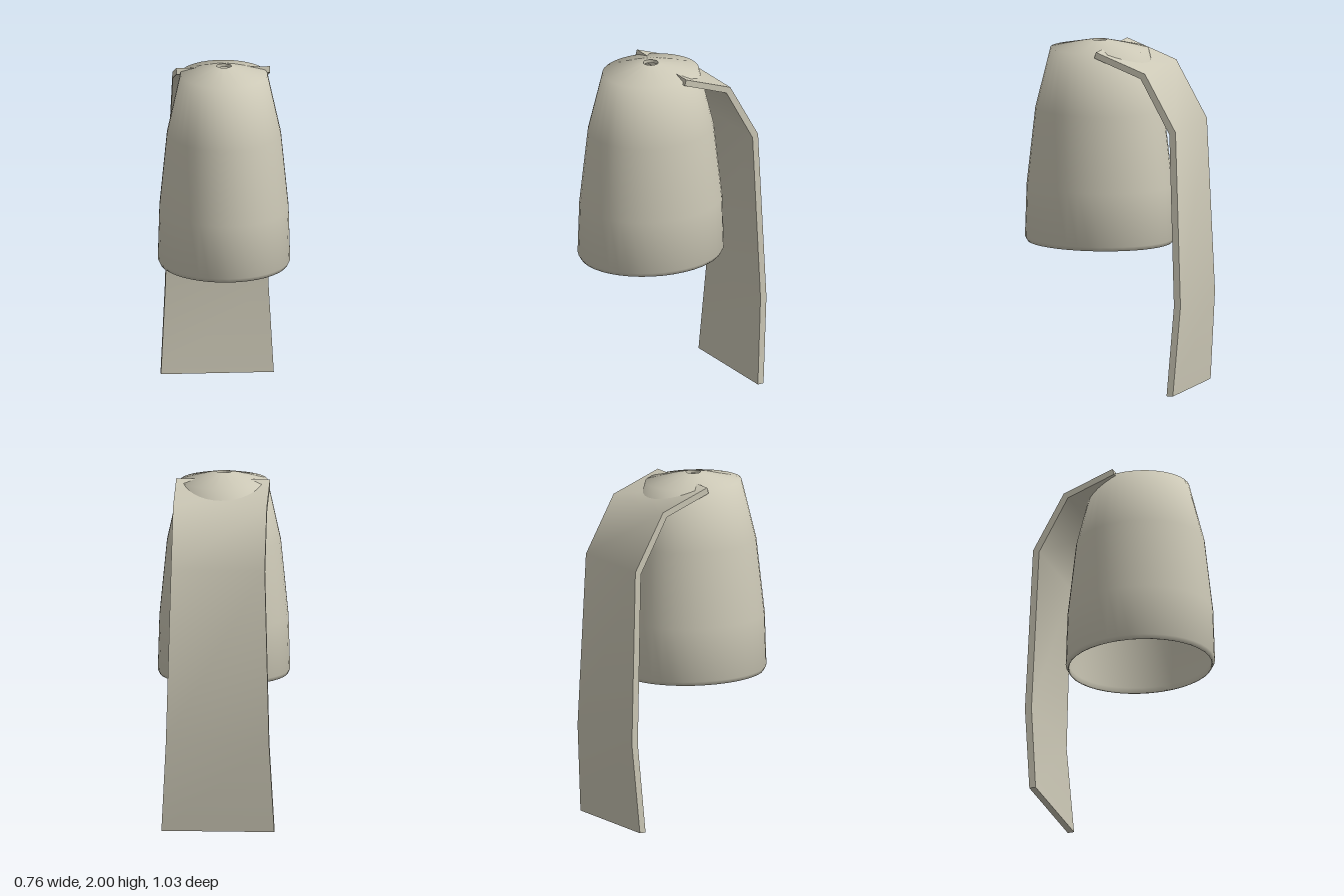
import * as THREE from 'three';
import { toCreasedNormals } from 'three/addons/utils/BufferGeometryUtils.js';

const points = (list) => list.map(([x, y]) => new THREE.Vector2(x, y));

// Half width of the strap at a given height: flared towards the foot
function strapHalfWidth(y) {
  if (y < 0.52) return THREE.MathUtils.mapLinear(y, 0, 0.52, 0.325, 0.297);
  if (y < 1.53) return THREE.MathUtils.mapLinear(y, 0.52, 1.53, 0.297, 0.27);
  return 0.27;
}

// Thin-walled oval bell, open below, with a round hole on top
function createBell(material) {
  const profile = points([
    [0.043, 2.0], [0.043, 1.98], [0.272, 1.93], [0.357, 1.59], [0.407, 1.15],
    [0.416, 0.86], [0.416, 0.83], [0.418, 0.826],
    [0.422, 0.826], [0.435, 0.85], [0.425, 1.16], [0.375, 1.6], [0.287, 1.95], [0.043, 2.0],
  ]);
  const geometry = new THREE.LatheGeometry(profile, 40);
  const pos = geometry.attributes.position;
  for (let i = 0; i < pos.count; i++) {
    const radius = Math.hypot(pos.getX(i), pos.getZ(i));
    if (radius > 0.1) pos.setX(i, pos.getX(i) * 0.875); // the hole stays round
  }
  geometry.translate(0, 0, 0.083);
  const bell = new THREE.Mesh(toCreasedNormals(geometry, 1.2), material);
  bell.name = 'bell';
  return bell;
}

// Bent strap: side profile in (z, y), extruded across and tapered in width
function createStrap(material) {
  const shape = new THREE.Shape(points([
    [-0.44, 0], [-0.475, 0.52], [-0.438, 1.515], [-0.262, 1.83], [0.02, 1.935],
    [0.01, 1.97], [-0.288, 1.86], [-0.475, 1.53], [-0.515, 0.52], [-0.478, 0],
  ]));
  const geometry = new THREE.ExtrudeGeometry(shape, { depth: 2, bevelEnabled: false });
  geometry.translate(0, 0, -1).rotateY(-Math.PI / 2);
  const pos = geometry.attributes.position;
  for (let i = 0; i < pos.count; i++) {
    pos.setX(i, Math.sign(pos.getX(i)) * strapHalfWidth(pos.getY(i)));
  }
  const strap = new THREE.Mesh(toCreasedNormals(geometry, 1), material);
  strap.name = 'strap';
  return strap;
}

export function createModel() {
  const paleStone = new THREE.MeshStandardMaterial({ color: 0xccc8b6 });
  paleStone.name = 'paleStone';
  const model = new THREE.Group();
  model.name = 'bellWithStrap';
  model.add(createBell(paleStone), createStrap(paleStone));
  return model;
}
